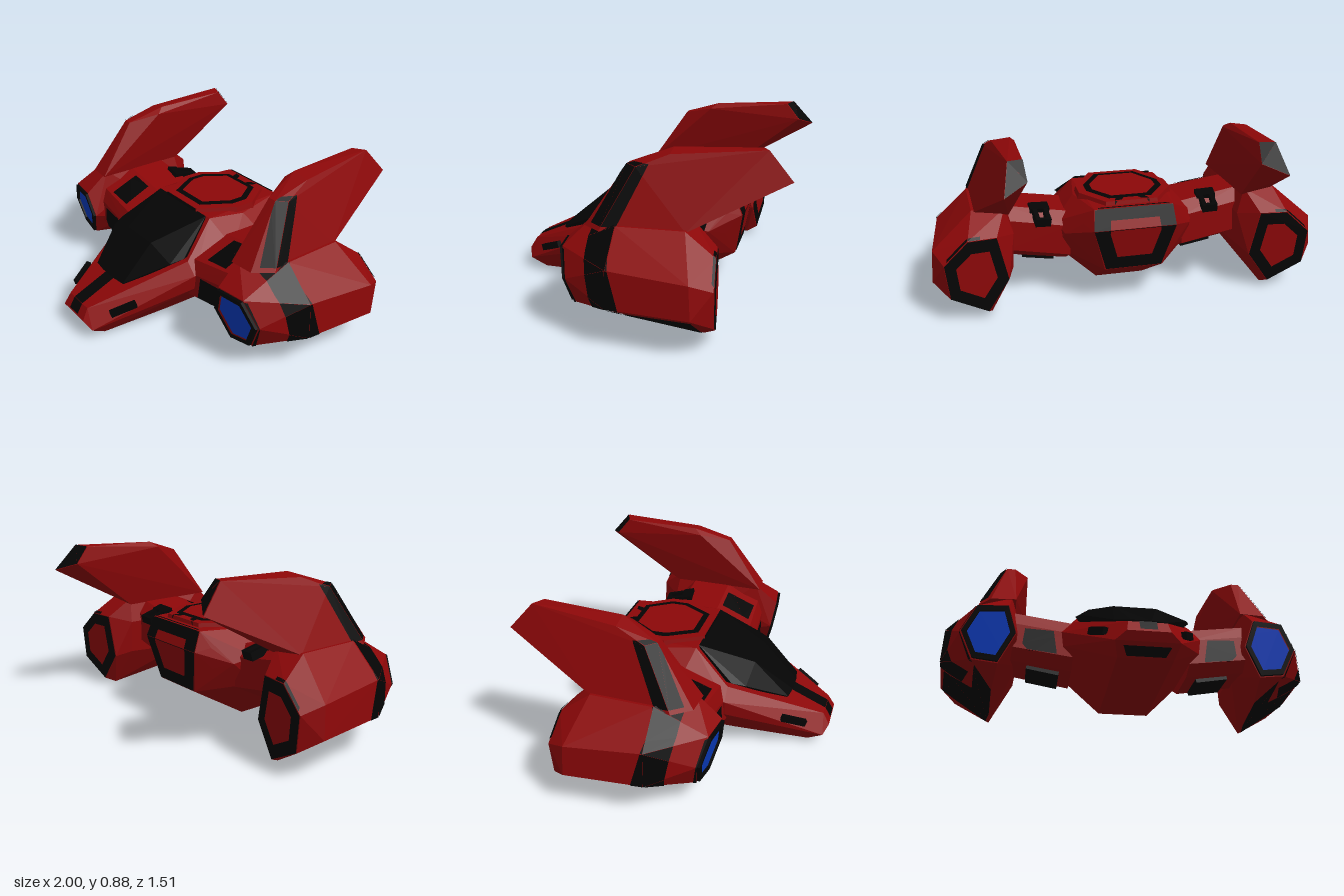
import * as THREE from 'three';
import { ConvexGeometry } from 'three/addons/geometries/ConvexGeometry.js';

const paint = (name, color) => {
  const m = new THREE.MeshStandardMaterial({ color });
  m.name = name;
  return m;
};

// Flat-faced solid around a few corner points
const solid = (pts) => new ConvexGeometry(pts.map((p) => new THREE.Vector3(...p)));
const both = (pts) => pts.flatMap(([x, y, z]) => [[x, y, z], [-x, y, z]]);
const flip = (pts, s) => pts.map(([x, ...rest]) => [x * s, ...rest]);
const shrink = (pts, k) => {
  const cx = pts.reduce((t, p) => t + p[0], 0) / pts.length;
  const cy = pts.reduce((t, p) => t + p[1], 0) / pts.length;
  return pts.map(([a, b]) => [cx + (a - cx) * k, cy + (b - cy) * k]);
};
const toPoints = (pts) => pts.map((p) => new THREE.Vector2(...p));

// Projection for painted panels: two polygon axes, facing axis and its sign
const VIEWS = {
  front: ['x', 'y', 'z', 1], back: ['x', 'y', 'z', -1],
  top: ['x', 'z', 'y', 1], left: ['z', 'y', 'x', 1], right: ['z', 'y', 'x', -1],
};

// Thin painted panel: clips the faces of a solid to a convex outline and lifts them slightly
function panel(geo, view, outline, lift = 0.004, minFacing = 0.08) {
  const [u, v, n, sign] = VIEWS[view];
  const area = outline.reduce((t, p, i) => {
    const q = outline[(i + 1) % outline.length];
    return t + p[0] * q[1] - q[0] * p[1];
  }, 0);
  const poly = area < 0 ? [...outline].reverse() : outline;
  const pos = geo.attributes.position, out = [];
  for (let i = 0; i < pos.count; i += 3) {
    let pts = [0, 1, 2].map((k) => new THREE.Vector3().fromBufferAttribute(pos, i + k));
    const normal = new THREE.Triangle(...pts).getNormal(new THREE.Vector3());
    if (normal[n] * sign < minFacing) continue;
    poly.forEach((a, j) => {
      const b = poly[(j + 1) % poly.length];
      const dist = (p) => (b[0] - a[0]) * (p[v] - a[1]) - (b[1] - a[1]) * (p[u] - a[0]);
      const kept = [];
      pts.forEach((p, k) => {
        const q = pts[(k + 1) % pts.length], dp = dist(p), dq = dist(q);
        if (dp >= 0) kept.push(p);
        if (dp * dq < 0) kept.push(p.clone().lerp(q, dp / (dp - dq)));
      });
      pts = kept;
    });
    pts = pts.map((p) => p.clone().addScaledVector(normal, lift));
    for (let k = 1; k + 1 < pts.length; k++)
      for (const p of [pts[0], pts[k], pts[k + 1]]) out.push(p.x, p.y, p.z);
  }
  const g = new THREE.BufferGeometry();
  g.setAttribute('position', new THREE.Float32BufferAttribute(out, 3));
  g.computeVertexNormals();
  return g;
}

// Slanted plane of the nacelle front
const lampZ = (x, y) => 0.302 - 0.13 * (Math.abs(x) - 0.62) - 0.2 * (0.41 - y);

// Raised frame standing on that plane
function lampFrame(outline) {
  const shape = new THREE.Shape(toPoints(shrink(outline, 0.96)));
  shape.holes.push(new THREE.Path(toPoints(shrink(outline, 0.77))));
  const g = new THREE.ExtrudeGeometry(shape, { depth: 0.015, bevelEnabled: false });
  const p = g.attributes.position;
  for (let i = 0; i < p.count; i++) p.setZ(i, p.getZ(i) + lampZ(p.getX(i), p.getY(i)));
  g.computeVertexNormals();
  return g;
}

export function createModel() {
  const root = new THREE.Group();
  root.name = 'spaceship';
  const red = paint('hull red', 0x8c0708);
  const black = paint('trim black', 0x040404);
  const blue = paint('lamp blue', 0x0a3cc0);
  const add = (parent, name, geo, mat) => {
    const m = new THREE.Mesh(geo, mat);
    m.name = name;
    parent.add(m);
    return m;
  };
  const box = (parent, name, size, at, mat) => {
    const m = add(parent, name, new THREE.BoxGeometry(...size), mat);
    m.position.set(...at);
    return m;
  };

  // Central hull: nose and rear body share one cross-section
  const joint = [[0.3, 0.37, 0.24], [0.36, 0.31, 0.24], [0.35, 0.23, 0.24], [0.13, 0, 0.24]];
  const nose = solid(both([...joint, [0.1, 0.1, 0.755], [0.15, 0.06, 0.73], [0.13, 0.01, 0.65], [0.09, 0.16, 0.72]]));
  const body = solid(both([...joint, [0.23, 0.53, 0.05], [0.26, 0.515, -0.15], [0.2, 0.53, -0.43],
    [0.37, 0.4, 0.0], [0.37, 0.4, -0.22], [0.36, 0.25, -0.2], [0.33, 0.37, -0.32], [0.25, 0.45, -0.4], [0.25, 0.34, -0.39],
    [0.21, 0.43, -0.47], [0.15, 0.2, -0.43], [0.13, 0, -0.1]]));
  add(root, 'nose', nose, red);
  add(root, 'rear hull', body, red);
  add(root, 'nose stripe', panel(nose, 'top', [[-0.04, 0.5], [0.04, 0.5], [0.04, 0.75], [-0.04, 0.75]]), black);
  add(root, 'nose intake', panel(nose, 'front', [[-0.11, 0.048], [0.11, 0.048], [0.09, 0.018], [-0.09, 0.018]]), black);
  const hatch = [[-0.2, 0.528], [0.2, 0.528], [0.21, 0.43], [0.145, 0.205], [-0.145, 0.205], [-0.21, 0.43]];
  add(root, 'rear hatch frame', panel(body, 'back', hatch), black);
  add(root, 'rear hatch', panel(body, 'back', shrink(hatch, 0.62), 0.008), red);
  add(root, 'rear hatch lip', panel(body, 'top', [[-0.2, -0.47], [0.2, -0.47], [0.18, -0.42], [-0.18, -0.42]], 0.005), black);

  // Faceted cockpit glass
  add(root, 'canopy', solid(both([[0.21, 0.537, 0.06], [0.295, 0.39, 0.26], [0.27, 0.37, 0.33], [0.11, 0.425, 0.34],
    [0.13, 0.257, 0.53], [0.05, 0.257, 0.54], [0.2, 0.35, 0.1], [0.1, 0.22, 0.5]])), black);

  // Raised octagonal roof platform with a painted ring
  const rim = [[0.11, 0.025], [0.2, -0.13], [0.2, -0.22], [0.11, -0.35]];
  const octagon = [...rim, ...flip([...rim].reverse(), -1)];
  const wide = shrink(octagon, 1.25);
  const roof = solid([...wide.map(([x, z]) => [x, 0.5, z]), ...shrink(octagon, 1.2).map(([x, z]) => [x, 0.55, z])]);
  add(root, 'roof platform', roof, red);
  add(root, 'roof ring', panel(roof, 'top', octagon, 0.003), black);
  add(root, 'roof cover', panel(roof, 'top', shrink(octagon, 0.84), 0.006), red);
  add(root, 'roof front trim', panel(roof, 'front', [[-0.18, 0.535], [0.18, 0.535], [0.18, 0.56], [-0.18, 0.56]], 0.004, 0.5), black);

  for (const s of [1, -1]) {
    const side = new THREE.Group();
    side.name = s > 0 ? 'left side' : 'right side';
    root.add(side);
    const outer = s > 0 ? 'left' : 'right';
    const make = (pts) => solid(flip(pts, s));

    // Roof marking behind the ring and nose vent
    add(side, 'roof marking', panel(roof, 'top', flip([[0.03, -0.34], [0.07, -0.34], [0.09, -0.39], [0.05, -0.38]], s)), black);
    const vent = box(side, 'nose vent', [0.025, 0.035, 0.14], [0.212 * s, 0.168, 0.58], black);
    vent.lookAt(0.182 * s, 0.143, 0.64);

    // Wing strut joining hull and nacelle, rising outwards
    const rib = [[0.23, 0.33], [0.2, 0.4], [0, 0.48], [-0.22, 0.48], [-0.28, 0.42], [-0.28, 0.26], [-0.1, 0.16], [0.14, 0.16], [0.23, 0.2]];
    const strut = make(rib.flatMap(([z, y]) => [[0.3, y - 0.025, z * 1.03], [0.62, y + 0.025, z * 0.95]]));
    add(side, 'wing strut', strut, red);
    add(side, 'strut top panel', panel(strut, 'top', flip([[0.4, 0.02], [0.535, 0.02], [0.535, 0.18], [0.39, 0.18]], s)), black);
    add(side, 'strut front panel', panel(strut, 'front', flip([[0.38, 0.19], [0.53, 0.21], [0.555, 0.24], [0.545, 0.325], [0.4, 0.315]], s)), black);
    box(side, 'strut underside plate', [0.17, 0.024, 0.2], [0.445 * s, 0.15, 0.01], black).rotation.z = 0.17 * s;

    // Forked clamp behind the strut
    const clamp = new THREE.Group();
    clamp.name = 'clamp';
    clamp.position.set(0.445 * s, 0.46, -0.25);
    clamp.rotation.set(-0.25, 0.08 * s, 0.1 * s);
    side.add(clamp);
    for (const dx of [-0.028, 0.028]) box(clamp, 'clamp prong', [0.022, 0.045, 0.1], [dx, 0, -0.03], black);
    box(clamp, 'clamp bar', [0.078, 0.045, 0.02], [0, 0, -0.07], black);
    box(clamp, 'clamp base', [0.1, 0.045, 0.06], [0, 0, 0.045], black);

    // Nacelle body with slanted front and rear faces
    const frontFace = [[0.63, 0.41], [0.79, 0.41], [0.865, 0.28], [0.8, 0.14], [0.67, 0.12], [0.585, 0.27]];
    const rearFace = [[0.68, 0.43], [0.82, 0.43], [0.94, 0.32], [0.92, 0.14], [0.74, 0.04], [0.63, 0.2]];
    const nacelle = make([
      ...frontFace.map(([x, y]) => [x, y, lampZ(x, y)]),
      ...rearFace.map(([x, y]) => [x, y, -0.44 - 0.12 * (x - 0.78)]),
      [0.62, 0.52, 0.17], [0.8, 0.53, 0.02], [0.96, 0.38, 0.02], [0.97, 0.2, 0.02], [0.7, 0.065, 0.02], [0.58, 0.2, 0.02], [0.57, 0.4, 0.02],
      [0.63, 0.53, -0.31], [0.79, 0.53, -0.3], [0.99, 0.36, -0.36], [1, 0.2, -0.37], [0.72, 0.012, -0.38], [0.6, 0.22, -0.33], [0.59, 0.4, -0.33]]);
    add(side, 'nacelle', nacelle, red);
    const front = flip(frontFace, s), rear = flip(rearFace, s);
    add(side, 'headlamp frame', lampFrame(front), black);
    add(side, 'headlamp', panel(nacelle, 'front', shrink(front, 0.78)), blue);
    add(side, 'nacelle rear frame', panel(nacelle, 'back', shrink(rear, 0.99)), black);
    add(side, 'nacelle rear cover', panel(nacelle, 'back', shrink(rear, 0.63), 0.008), red);
    add(side, 'nacelle rear lip', panel(nacelle, 'top', flip([[0.76, -0.425], [0.92, -0.445], [0.93, -0.47], [0.76, -0.46]], s)), black);
    add(side, 'nacelle front trim', panel(nacelle, outer, [[0.33, 0.42], [0.265, 0.4], [0.205, 0.12], [0.26, 0.09]], 0.004, 0.3), black);
    add(side, 'nacelle lower panel', panel(nacelle, outer, [[-0.06, 0.185], [-0.37, 0.19], [-0.375, 0.02], [-0.07, 0.04]]), black);
    add(side, 'nacelle keel strip', panel(nacelle, outer, [[0.26, 0.135], [-0.07, 0.1], [-0.07, 0.03], [0.26, 0.07]], 0.004, 0.3), black);

    // Swept-back fin with a chamfered leading edge
    const fin = make([[0.6, 0.5, 0.2], [0.73, 0.5, 0.19], [0.8, 0.5, 0.1], [0.61, 0.5, -0.32], [0.78, 0.52, -0.3],
      [0.62, 0.79, 0], [0.665, 0.79, 0], [0.7, 0.785, -0.05], [0.55, 0.83, -0.16], [0.575, 0.86, -0.2], [0.665, 0.845, -0.2],
      [0.63, 0.88, -0.64], [0.56, 0.875, -0.61], [0.66, 0.75, -0.755], [0.55, 0.79, -0.68]]);
    add(side, 'fin', fin, red);
    add(side, 'fin tip', panel(fin, 'back', flip([[0.5, 0.74], [0.7, 0.74], [0.7, 0.9], [0.5, 0.9]], s), 0.004, 0.6), black);

    // Black band running down fin and nacelle
    const band = [[0, 0.8, -0.11], [0.15, 0.52, 0.02], [0.145, 0.42, 0.02], [0.09, 0.13, -0.06]];
    for (let i = 0; i < 3; i++) {
      const [a, y0, b] = band[i], [c, y1, d] = band[i + 1];
      const quad = [[a, y0], [b, y0], [d, y1], [c, y1]];
      if (i === 0) add(side, 'fin band', panel(fin, outer, quad, 0.004, 0.4), black);
      add(side, 'nacelle band', panel(nacelle, outer, quad), black);
    }
  }

  return root;
}
